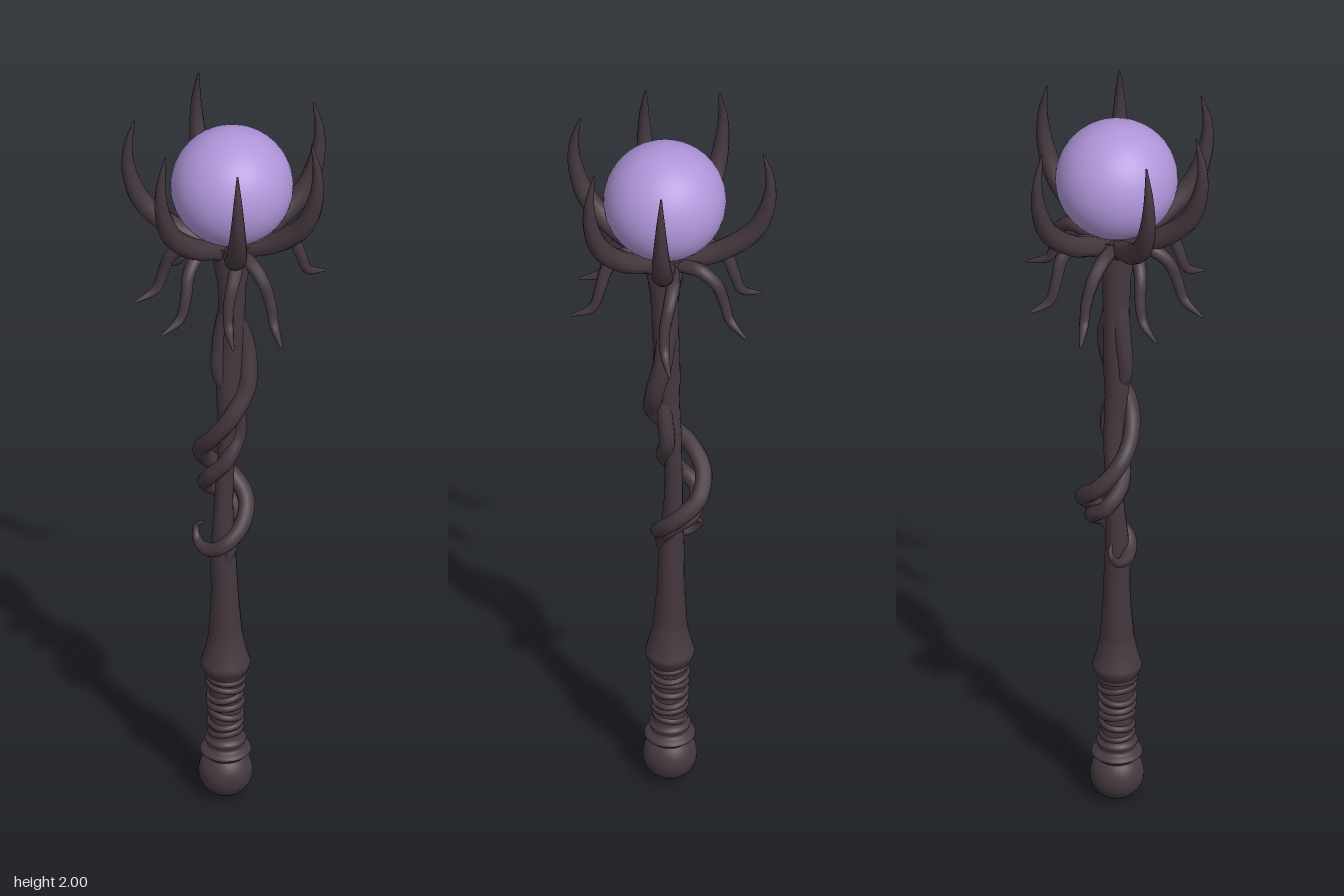
import * as THREE from 'three';

const V = (x, y, z) => new THREE.Vector3(x, y, z);

// Linear interpolation through evenly spaced values
function ramp(values, t) {
  const f = t * (values.length - 1);
  const i = Math.min(Math.floor(f), values.length - 2);
  return THREE.MathUtils.lerp(values[i], values[i + 1], f - i);
}

// Tube along a smooth path whose radius follows a list of values
function taperedTube(points, radii, segments, sides) {
  const curve = new THREE.CatmullRomCurve3(points);
  const geo = new THREE.TubeGeometry(curve, segments, 1, sides, false);
  const pos = geo.attributes.position;
  const p = V(0, 0, 0);
  for (let i = 0; i <= segments; i++) {
    const c = curve.getPointAt(i / segments);
    const r = ramp(radii, i / segments);
    for (let j = 0; j <= sides; j++) {
      const k = i * (sides + 1) + j;
      p.fromBufferAttribute(pos, k).sub(c).multiplyScalar(r).add(c);
      pos.setXYZ(k, p.x, p.y, p.z);
    }
  }
  return geo;
}

export function createModel() {
  const wood = new THREE.MeshStandardMaterial({ color: 0x45383f });
  wood.name = 'darkWood';
  const crystal = new THREE.MeshStandardMaterial({ color: 0xb096da });
  crystal.name = 'violetCrystal';

  const model = new THREE.Group();
  model.name = 'staff';
  const add = (name, geo, mat = wood) => {
    const mesh = new THREE.Mesh(geo, mat);
    mesh.name = name;
    model.add(mesh);
    return mesh;
  };

  // Orb
  add('orb', new THREE.SphereGeometry(0.153, 40, 28), crystal).position.set(0.004, 1.814, 0.005);

  // Pommel, collar and grip
  const base = V(-0.012, 0, 0.01);
  add('pommel', new THREE.SphereGeometry(0.068, 28, 20)).position.copy(base).setY(0.068);
  const profile = [
    [0.04, 0.1], [0.052, 0.12], [0.064, 0.13], [0.06, 0.138], [0.046, 0.148],
    [0.052, 0.165], [0.042, 0.18], [0.038, 0.24], [0.041, 0.3], [0.046, 0.35],
    [0.058, 0.375], [0.062, 0.39], [0.058, 0.405], [0.05, 0.435], [0.042, 0.48], [0.035, 0.54],
  ].map(([r, y]) => new THREE.Vector2(r, y));
  add('grip', new THREE.LatheGeometry(new THREE.SplineCurve(profile).getPoints(48), 28)).position.copy(base);

  // Slightly tilted wrappings around the grip
  for (let i = 0; i < 7; i++) {
    const wrap = add('gripWrapping', new THREE.TorusGeometry(0.037 + i * 0.001, 0.009, 8, 24));
    wrap.position.copy(base).setY(0.19 + i * 0.027);
    wrap.rotation.set(Math.PI / 2 + 0.15 * Math.sin(i * 2.1), 0.15 * Math.cos(i * 1.7), 0);
  }

  // Gently crooked shaft, flaring under the orb
  add('shaft', taperedTube([
    V(-0.012, 0.45, 0.01), V(-0.015, 0.6, 0.01), V(-0.018, 0.75, 0.012), V(-0.02, 0.9, 0.005),
    V(-0.014, 1.05, 0), V(-0.005, 1.2, 0.008), V(0, 1.35, 0.005), V(0.004, 1.5, 0.005), V(0.004, 1.655, 0.005),
  ], [0.045, 0.035, 0.032, 0.024, 0.022, 0.026, 0.034, 0.033, 0.036, 0.058], 64, 16));

  // Vines winding down the shaft
  add('longVine', taperedTube([
    V(0, 1.47, 0.005), V(0.008, 1.4, -0.012), V(0.025, 1.32, -0.025), V(0.04, 1.22, -0.008),
    V(0.022, 1.14, 0.035), V(-0.025, 1.07, 0.048), V(-0.075, 1.01, 0.028), V(-0.09, 0.95, -0.02),
    V(-0.055, 0.9, -0.065), V(0, 0.85, -0.058), V(0.022, 0.8, -0.015), V(0.005, 0.755, 0.035),
    V(-0.04, 0.73, 0.045), V(-0.085, 0.735, 0.03), V(-0.098, 0.765, 0.015), V(-0.075, 0.78, 0.01),
  ], [0.024, 0.025, 0.024, 0.022, 0.021, 0.022, 0.022, 0.021, 0.018, 0.004], 110, 10));
  add('shortVine', taperedTube([
    V(0, 1.47, 0.01), V(-0.015, 1.36, 0.025), V(-0.015, 1.26, 0.03), V(0.008, 1.16, -0.005),
    V(0.008, 1.07, -0.018), V(0, 1, 0.018), V(-0.045, 0.94, 0.03), V(-0.08, 0.89, 0),
    V(-0.05, 0.845, -0.045), V(0.004, 0.8, -0.028), V(0.008, 0.74, 0.015), V(-0.014, 0.66, 0.022),
  ], [0.024, 0.022, 0.02, 0.02, 0.02, 0.02, 0.018, 0.012], 90, 10));

  // Claws holding the orb: outer x and z of each
  const claws = [[0.115, -0.215], [-0.22, -0.145], [-0.22, 0.145], [-0.045, 0.24], [0.168, 0.2], [0.236, -0.045]];
  const clawPath = [[0, 1.6], [0.2, 1.637], [0.52, 1.677], [0.82, 1.745], [0.96, 1.83], [0.985, 1.91], [0.92, 1.995]];
  for (const [x, z] of claws) {
    add('claw', taperedTube(clawPath.map(([f, y]) => V(x * f, y, z * f)),
      [0.026, 0.025, 0.027, 0.027, 0.024, 0.018, 0.011, 0.002], 36, 12));
  }

  // Rootlets drooping below the claws: tip x, z and y
  const rootlets = [
    [0.105, -0.25, 1.465], [-0.13, -0.185, 1.47], [-0.245, -0.025, 1.465], [0.222, 0.09, 1.46],
    [-0.185, 0.155, 1.47], [-0.042, 0.235, 1.47], [0.15, 0.195, 1.48],
  ];
  const rootPath = [[0.05, 0.92], [0.27, 1], [0.45, 1.02], [0.62, 0.83], [0.7, 0.5], [0.78, 0.18], [1, 0]];
  rootlets.forEach(([x, z, y], n) => {
    const side = n % 2 ? 0.05 : -0.05;
    add('rootlet', taperedTube(rootPath.map(([f, h], i) => {
      const s = side * Math.sin(i * Math.PI / 3);
      return V(x * f - z * s, y + h * (1.638 - y), z * f + x * s);
    }), [0.018, 0.018, 0.018, 0.016, 0.014, 0.012, 0.003], 32, 9));
  });

  return model;
}
